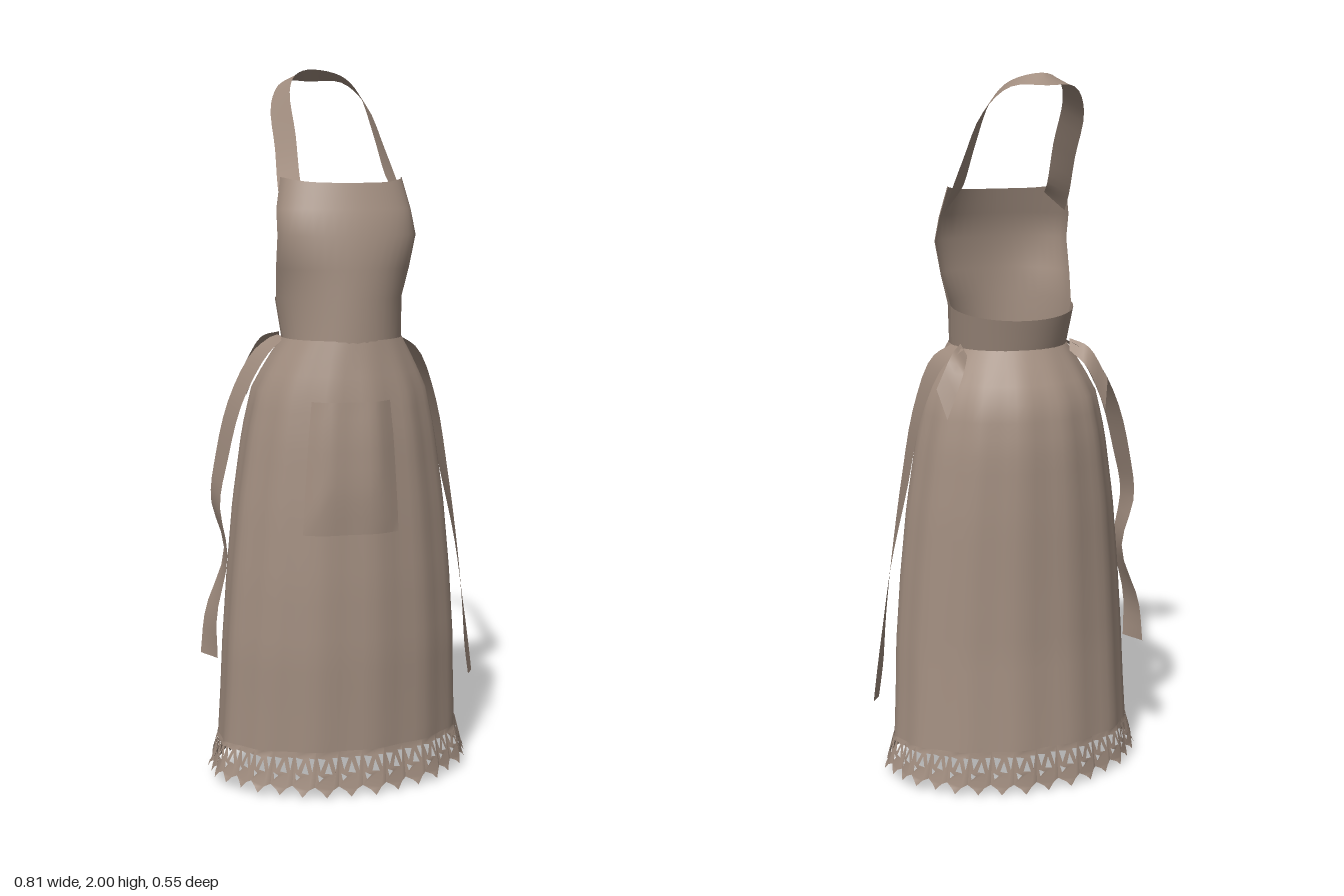
import * as THREE from 'three';
import { mergeGeometries } from 'three/addons/utils/BufferGeometryUtils.js';

const CX = -0.018; // the garment hangs slightly off centre

// skirt sections: y, half width, front z, back z
const SKIRT = [
  [1.28, 0.160, 0.208, -0.092], [1.25, 0.170, 0.212, -0.098], [1.20, 0.205, 0.222, -0.135],
  [1.12, 0.245, 0.238, -0.178], [1.00, 0.272, 0.252, -0.196], [0.80, 0.302, 0.260, -0.198],
  [0.60, 0.322, 0.264, -0.195], [0.40, 0.337, 0.262, -0.194], [0.25, 0.343, 0.254, -0.200],
  [0.12, 0.350, 0.248, -0.206], [0.00, 0.372, 0.262, -0.214],
];

// point on the skirt at angle a (0 = front) and height y, pushed out by off
function skirtPoint(a, y, off = 0) {
  let i = 0;
  while (i < SKIRT.length - 2 && SKIRT[i + 1][0] > y) i++;
  const p = SKIRT[i], q = SKIRT[i + 1];
  const t = (p[0] - y) / (p[0] - q[0]);
  const [hx, zf, zb] = [1, 2, 3].map(k => p[k] + (q[k] - p[k]) * t);
  const fold = 0.004 * Math.sin(a * 13) * THREE.MathUtils.clamp((1.26 - y) * 5, 0, 1);
  const mid = (zf + zb) / 2, hz = (zf - zb) / 2;
  return [CX + (hx + off + fold) * Math.sin(a), y, mid + (hz + off + fold) * Math.cos(a)];
}

// sheet of rows x cols cells; closed joins the last column to the first
function sheet(rows, cols, point, closed = false) {
  const pos = [], idx = [], n = closed ? cols : cols + 1;
  for (let r = 0; r <= rows; r++)
    for (let c = 0; c < n; c++) pos.push(...point(r / rows, c / cols));
  for (let r = 0; r < rows; r++)
    for (let c = 0; c < cols; c++) {
      const a = r * n + c, b = r * n + (c + 1) % n;
      idx.push(a, a + n, b, b, a + n, b + n);
    }
  const g = new THREE.BufferGeometry();
  g.setAttribute('position', new THREE.Float32BufferAttribute(pos, 3));
  g.setIndex(idx);
  g.computeVertexNormals();
  return g;
}

// flat band running between two edge paths
function band(edgeA, edgeB, steps) {
  const [A, B] = [edgeA, edgeB].map(e =>
    new THREE.CatmullRomCurve3(e.map(p => new THREE.Vector3(...p)), false, 'centripetal'));
  return sheet(steps, 2, (v, u) => A.getPoint(v).lerp(B.getPoint(v), u).toArray());
}

export function createModel() {
  const model = new THREE.Group();
  const cloth = new THREE.MeshStandardMaterial({ color: 0xa38f81, side: THREE.DoubleSide });
  cloth.name = 'taupe cloth';
  const add = (name, geometry) => {
    const mesh = new THREE.Mesh(geometry, cloth);
    mesh.name = name;
    model.add(mesh);
  };
  const TAU = Math.PI * 2;

  // skirt
  add('skirt', sheet(24, 64, (v, u) => skirtPoint(u * TAU, 1.26 - v * 1.14), true));

  // front pocket
  add('pocket', sheet(8, 12, (v, u) => {
    const edge = Math.min(1, 4 * Math.min(u, 1 - u), 3 * (1 - v));
    return skirtPoint(-0.55 + u * 0.9, 1.1 - v * 0.36, 0.002 + 0.012 * edge);
  }));

  // bib: y, half width, front z, side edge z
  const bib = [
    [1.25, 0.166, 0.212, 0.05], [1.37, 0.177, 0.210, 0.015], [1.45, 0.188, 0.206, 0.06],
    [1.54, 0.195, 0.200, 0.105], [1.61, 0.190, 0.175, 0.075], [1.68, 0.172, 0.150, 0.05],
  ];
  add('bib', sheet(bib.length - 1, 20, (v, u) => {
    const [y, w, zf, ze] = bib[Math.round((1 - v) * (bib.length - 1))];
    const a = (u - 0.5) * Math.PI;
    const lift = v === 0 ? 0.015 * Math.sin(a) ** 4 : 0;
    return [CX + w * Math.sin(a), y + lift, ze + (zf - ze) * Math.cos(a)];
  }));

  // back of the waistband, flaring at the top
  add('waistband', sheet(3, 20, (v, u) => {
    const a = (u + 0.5) * Math.PI, top = 1 - v, back = -Math.cos(a);
    const w = 0.166 + 0.011 * top, side = 0.05 - 0.035 * top;
    const y = 1.25 + top * (0.12 - 0.03 * back);
    return [CX + w * Math.sin(a), y, side - (side + 0.098 + 0.024 * top) * back];
  }));

  // neck strap, mirrored about the garment's centre
  const loop = half => [...half, ...half.slice(0, -1).reverse().map(([x, y, z]) => [2 * CX - x, y, z])];
  const outer = [[-0.196, 1.62, 0.075], [-0.192, 1.67, 0.03], [-0.178, 1.77, -0.05],
    [-0.158, 1.90, -0.17], [-0.105, 1.965, -0.24], [CX, 1.968, -0.273]];
  const inner = [[-0.145, 1.67, 0.105], [-0.14, 1.70, 0.065], [-0.13, 1.81, -0.01],
    [-0.118, 1.93, -0.115], [-0.085, 1.98, -0.175], [CX, 2.0, -0.232]];
  add('neckStrap', band(loop(outer), loop(inner), 40));

  // hanging tie ribbons: x, y, front z, back z, tilt of the back edge in x
  const ties = {
    leftTie: [[0.145, 1.26, 0.05, -0.06, 0], [0.20, 1.22, 0.07, -0.08, 0.01], [0.255, 1.08, 0.07, -0.06, 0.012],
      [0.292, 0.88, 0.07, -0.05, 0.015], [0.325, 0.65, 0.07, -0.02, 0.025], [0.348, 0.48, 0.055, -0.01, 0.025],
      [0.360, 0.34, 0.05, 0.0, 0.03], [0.378, 0.245, 0.035, 0.0, 0.024]],
    rightTie: [[-0.18, 1.26, 0.05, -0.06, 0], [-0.235, 1.21, 0.06, -0.06, -0.01], [-0.305, 1.08, 0.06, -0.05, -0.012],
      [-0.345, 0.92, 0.05, -0.05, -0.012], [-0.365, 0.80, 0.04, -0.05, -0.006], [-0.345, 0.65, 0.04, -0.05, 0.01],
      [-0.375, 0.48, 0.03, -0.05, -0.016], [-0.372, 0.355, 0.02, -0.05, -0.034]],
  };
  for (const [name, path] of Object.entries(ties))
    add(name, band(path.map(([x, y, f]) => [x, y, f]), path.map(([x, y, , b, t]) => [x + t, y, b]), 24));

  // knots where the ties meet the waist
  for (const s of [1, -1])
    add(s > 0 ? 'leftKnot' : 'rightKnot', band(
      [[CX + s * 0.16, 1.27, -0.02], [CX + s * 0.20, 1.25, -0.07], [CX + s * 0.25, 1.16, -0.09]],
      [[CX + s * 0.15, 1.24, -0.05], [CX + s * 0.18, 1.20, -0.11], [CX + s * 0.23, 1.08, -0.125]], 8));

  // lace trim: a pierced tile repeated around the hem
  const tile = new THREE.Shape([[0, 0.128], [0, 0.03], [0.3, 0.018], [0.5, 0.002], [0.75, 0.022], [1, 0.03],
    [1, 0.128], [0.5, 0.128]].map(p => new THREE.Vector2(...p)));
  const holes = [
    [[0.08, 0.112], [0.42, 0.108], [0.22, 0.076]],
    [[0.55, 0.100], [0.72, 0.066], [0.40, 0.070]],
    [[0.70, 0.112], [0.94, 0.110], [0.86, 0.074]],
    [[0.10, 0.066], [0.34, 0.058], [0.16, 0.046]],
  ];
  for (const h of holes) tile.holes.push(new THREE.Path(h.map(p => new THREE.Vector2(...p))));
  const count = 34, tiles = [];
  for (let k = 0; k < count; k++) {
    const g = new THREE.ShapeGeometry(tile), p = g.attributes.position;
    for (let i = 0; i < p.count; i++) {
      const a = (k + p.getX(i)) / count * TAU, y = p.getY(i);
      const ripple = 0.008 * Math.sin(p.getX(i) * Math.PI) * (1 - y / 0.128);
      const [x, , z] = skirtPoint(a, y, 0.002 + ripple);
      const rise = 0.024 * Math.sin(a) ** 2 * (1 - y / 0.128);
      p.setXYZ(i, x, y + rise, z);
    }
    g.computeVertexNormals();
    tiles.push(g);
  }
  add('laceTrim', mergeGeometries(tiles));

  return model;
}
